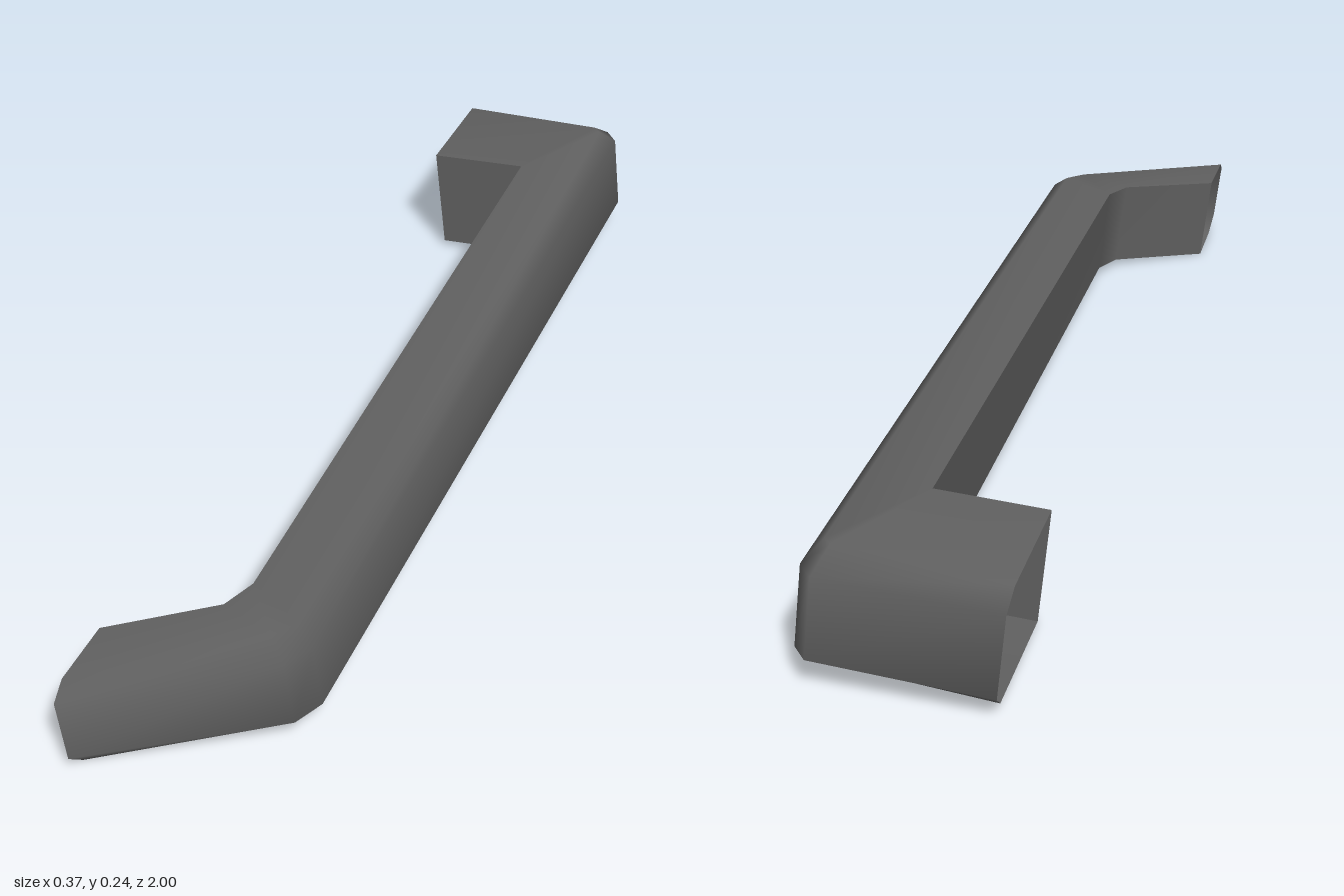
import * as THREE from 'three';

// Cross-sections from the front mouth to the back mouth. Each runs
// inner top, top edge, outer upper, outer lower, bottom edge, inner bottom.
const sections = [
  // front mouth
  [[-0.17, 0.174, 0.84], [-0.17, 0.172, 0.965], [-0.167, 0.15, 1], [-0.153, 0.035, 1], [-0.148, 0.002, 0.965], [-0.15, 0.002, 0.84]],
  // front bend
  [[0, 0.19, 0.73], [0.105, 0.194, 0.775], [0.14, 0.172, 0.808], [0.156, 0.052, 0.808], [0.125, 0.024, 0.775], [0.022, 0.016, 0.73]],
  [[0.025, 0.194, 0.67], [0.135, 0.198, 0.735], [0.167, 0.172, 0.755], [0.182, 0.055, 0.755], [0.152, 0.027, 0.735], [0.046, 0.019, 0.67]],
  // back corner
  [[0.01, 0.235, -0.73], [0.122, 0.242, -0.925], [0.152, 0.21, -0.955], [0.169, 0.06, -0.955], [0.143, 0.036, -0.925], [0.034, 0.027, -0.73]],
  [[0.01, 0.235, -0.73], [0.108, 0.242, -0.94], [0.125, 0.21, -0.988], [0.142, 0.06, -0.988], [0.13, 0.035, -0.95], [0.034, 0.027, -0.73]],
  // back mouth
  [[-0.183, 0.222, -0.73], [-0.183, 0.223, -0.96], [-0.18, 0.195, -1], [-0.164, 0.045, -1], [-0.16, 0.015, -0.965], [-0.16, 0.013, -0.73]],
];

// Skin a run of point rows with smooth normals
function skin(rows) {
  const n = rows[0].length;
  const index = [];
  for (let i = 0; i < rows.length - 1; i++) {
    for (let j = 0; j < n - 1; j++) {
      const a = i * n + j, b = a + 1, c = a + n, d = c + 1;
      index.push(a, b, c, b, d, c);
    }
  }
  const geometry = new THREE.BufferGeometry();
  geometry.setAttribute('position', new THREE.Float32BufferAttribute(rows.flat(2), 3));
  geometry.setIndex(index);
  geometry.computeVertexNormals();
  return geometry;
}

export function createModel() {
  const group = new THREE.Group();
  group.name = 'pullHandle';
  const grey = new THREE.MeshStandardMaterial({ color: 0x606060, side: THREE.DoubleSide });
  grey.name = 'darkGrey';

  const add = (name, rows) => {
    const mesh = new THREE.Mesh(skin(rows), grey);
    mesh.name = name;
    group.add(mesh);
  };

  // Top, outer side and bottom as one rounded shell, open at both mouths
  add('outerShell', sections);

  // Inner wall, with a hard corner where the back foot turns off
  const inner = sections.map((s) => [s[5], s[0]]);
  add('innerGripWall', inner.slice(0, 4));
  add('backFootWall', inner.slice(4));
  return group;
}
